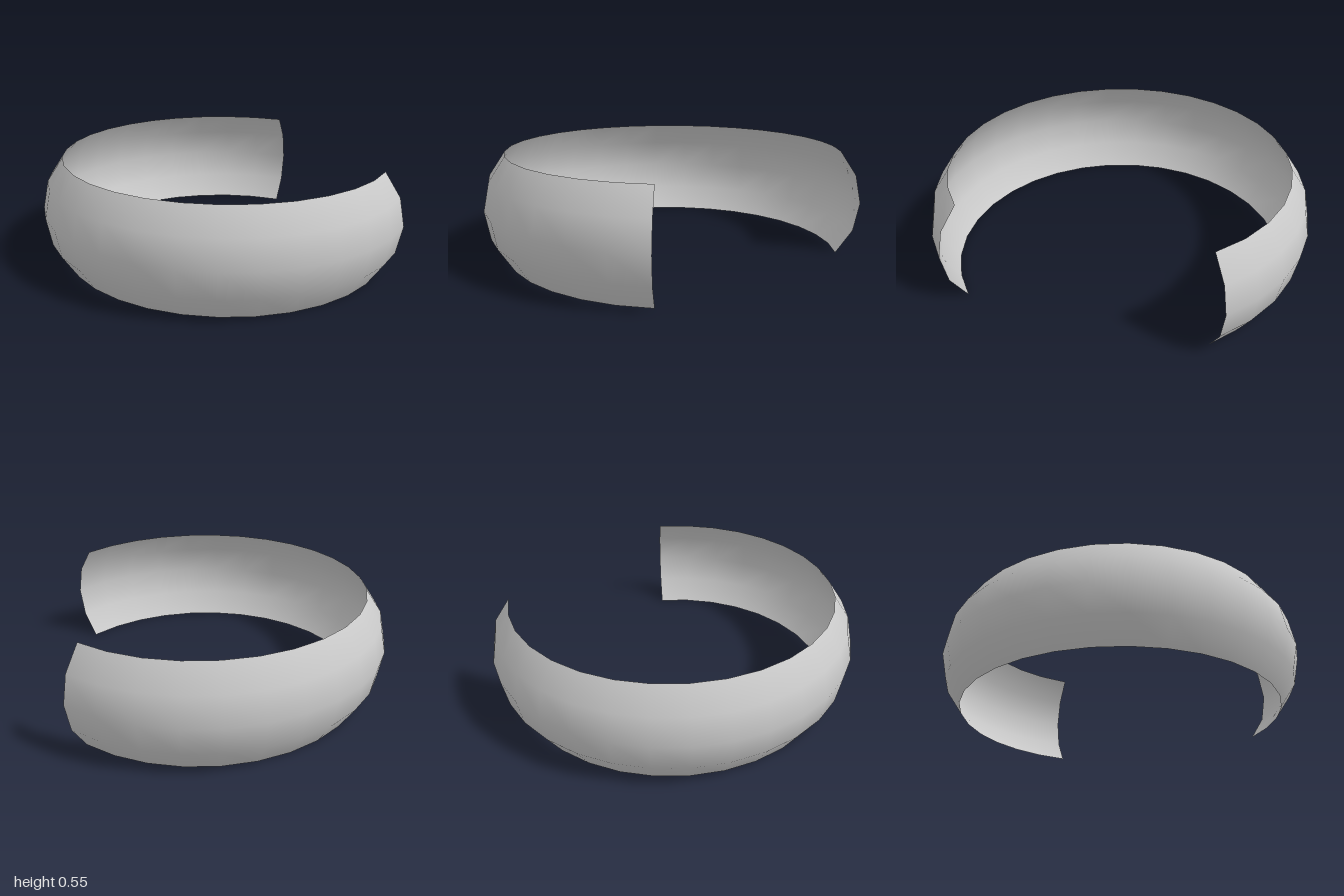
import * as THREE from 'three';

export function createModel() {
  const group = new THREE.Group();
  group.name = 'openCuff';

  // Bulging quarter-arc profile of the band
  const bulge = 0.392, outer = 1, steps = 4;
  const halfHeight = bulge * Math.SQRT1_2;
  const profile = [];
  for (let i = 0; i <= steps; i++) {
    const a = -Math.PI / 4 + (i / steps) * Math.PI / 2;
    profile.push(new THREE.Vector2(outer - bulge + bulge * Math.cos(a), bulge * Math.sin(a)));
  }

  // Three quarters of a turn, with the gap facing +x
  const geometry = new THREE.LatheGeometry(profile, 24, Math.PI * 0.75, Math.PI * 1.5);
  const material = new THREE.MeshStandardMaterial({ color: 0xcccccc, side: THREE.DoubleSide });
  const band = new THREE.Mesh(geometry, material);
  band.name = 'curvedBand';
  band.position.set((outer - outer * Math.SQRT1_2) / 2, halfHeight, 0);
  group.add(band);

  return group;
}
